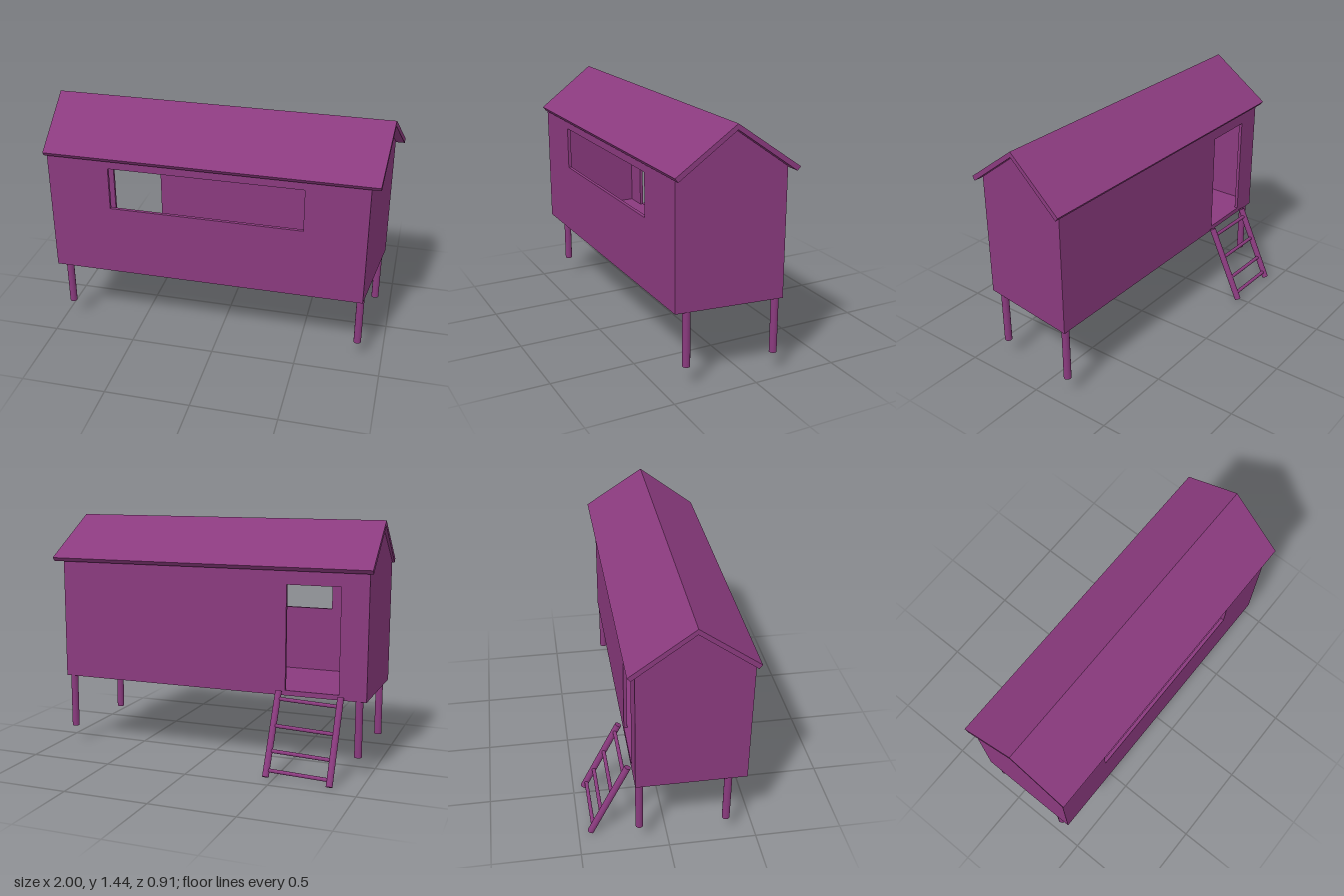
import * as THREE from 'three';

const material = new THREE.MeshStandardMaterial({ color: 0x8a3a7e });
const polygon = (points) => new THREE.Shape(points.map(([x, y]) => new THREE.Vector2(x, y)));
const rect = (x0, x1, y0, y1) => [[x0, y0], [x1, y0], [x1, y1], [x0, y1]];

function add(parent, name, geometry) {
  const mesh = new THREE.Mesh(geometry, material);
  mesh.name = name;
  parent.add(mesh);
  return mesh;
}

// Panel drawn in x/y, standing between two z values
function panel(shape, z0, z1) {
  return new THREE.ExtrudeGeometry(shape, { depth: z1 - z0, bevelEnabled: false }).translate(0, 0, z0);
}

// Profile of [z, y] points carried along x between two slanted ends
function span(profile, leftX, rightX) {
  const geometry = new THREE.ExtrudeGeometry(polygon(profile.map(([z, y]) => [-z, y])), { depth: 1, bevelEnabled: false });
  geometry.rotateY(Math.PI / 2);
  const p = geometry.attributes.position;
  for (let i = 0; i < p.count; i++) {
    const z = p.getZ(i);
    p.setX(i, THREE.MathUtils.lerp(leftX(z), rightX(z), p.getX(i)));
  }
  geometry.computeVertexNormals();
  return geometry;
}

// Round bar between two points
function bar(parent, name, from, to, radius) {
  const a = new THREE.Vector3(...from), b = new THREE.Vector3(...to);
  const dir = b.clone().sub(a);
  const mesh = add(parent, name, new THREE.CylinderGeometry(radius, radius, dir.length(), 16));
  mesh.position.copy(a).add(b).multiplyScalar(0.5);
  mesh.quaternion.setFromUnitVectors(new THREE.Vector3(0, 1, 0), dir.normalize());
}

export function createModel() {
  const model = new THREE.Group();
  model.name = 'raisedHut';

  const front = 0.43, back = -0.19, ridge = 0.12;
  const floorY = 0.445, floorTop = 0.475, eaveY = 1.187, thick = 0.02;
  const wallLeft = () => -0.977;
  const wallRight = (z) => 0.87 + (front - z) * 0.121;

  // Floor and gable walls
  add(model, 'floor', span(rect(back, front, floorY, floorTop), wallLeft, wallRight));
  const gable = [[front, floorTop], [front, eaveY], [ridge, 1.412], [back, eaveY], [back, floorTop]];
  add(model, 'leftWall', span(gable, wallLeft, () => wallLeft() + thick));
  add(model, 'rightWall', span(gable, (z) => wallRight(z) - thick, wallRight));

  // Front wall with the long window
  const frontShape = polygon(rect(wallLeft(), wallRight(front), floorTop, eaveY));
  frontShape.holes.push(polygon(rect(-0.615, 0.513, 0.87, 1.125)));
  add(model, 'frontWall', panel(frontShape, front - thick, front));

  // Back wall with the doorway cut down to the floor
  const right = wallRight(back + thick), left = wallLeft();
  const backShape = polygon([
    [left, floorTop], [-0.817, floorTop], [-0.817, 1.09], [-0.5, 1.09],
    [-0.5, floorTop], [right, floorTop], [right, eaveY], [left, eaveY],
  ]);
  add(model, 'backWall', panel(backShape, back, back + thick));

  // Pitched roof with a skewed right end
  const roofProfile = [
    [0.457, 1.197], [ridge, 1.445], [-0.232, 1.193],
    [-0.214, 1.171], [ridge, 1.413], [0.44, 1.174],
  ];
  add(model, 'roof', span(roofProfile, (z) => -0.995 + (z - ridge) * 0.015, (z) => {
    return z > ridge ? 0.92 + (0.457 - z) * 0.1 : 0.953 + (ridge - z) * 0.13;
  }));

  // Posts: x, z, bottom height
  const posts = [[0.852, 0.353, 0.12], [0.907, -0.163, 0.113], [-0.943, 0.331, 0.122], [-0.931, -0.163, 0.115]];
  for (const [x, z, y] of posts) bar(model, 'post', [x, y, z], [x, floorY, z], 0.022);

  // Ladder leaning against the doorway
  const ladder = new THREE.Group();
  ladder.name = 'ladder';
  model.add(ladder);
  bar(ladder, 'ladderRail', [-0.834, 0.012, -0.431], [-0.834, 0.468, -0.213], 0.019);
  bar(ladder, 'ladderRail', [-0.467, 0.026, -0.437], [-0.47, 0.477, -0.22], 0.019);
  const onSlope = (x, y) => [x, y, -0.214 - (0.468 - y) * 0.478];
  for (const y of [0.42, 0.278, 0.147, 0.047]) {
    const [rx, ry, rz] = onSlope(-0.468, y + 0.016);
    bar(ladder, 'rung', onSlope(-0.834, y), [rx, ry, rz - 0.013], 0.011);
  }
  return model;
}
